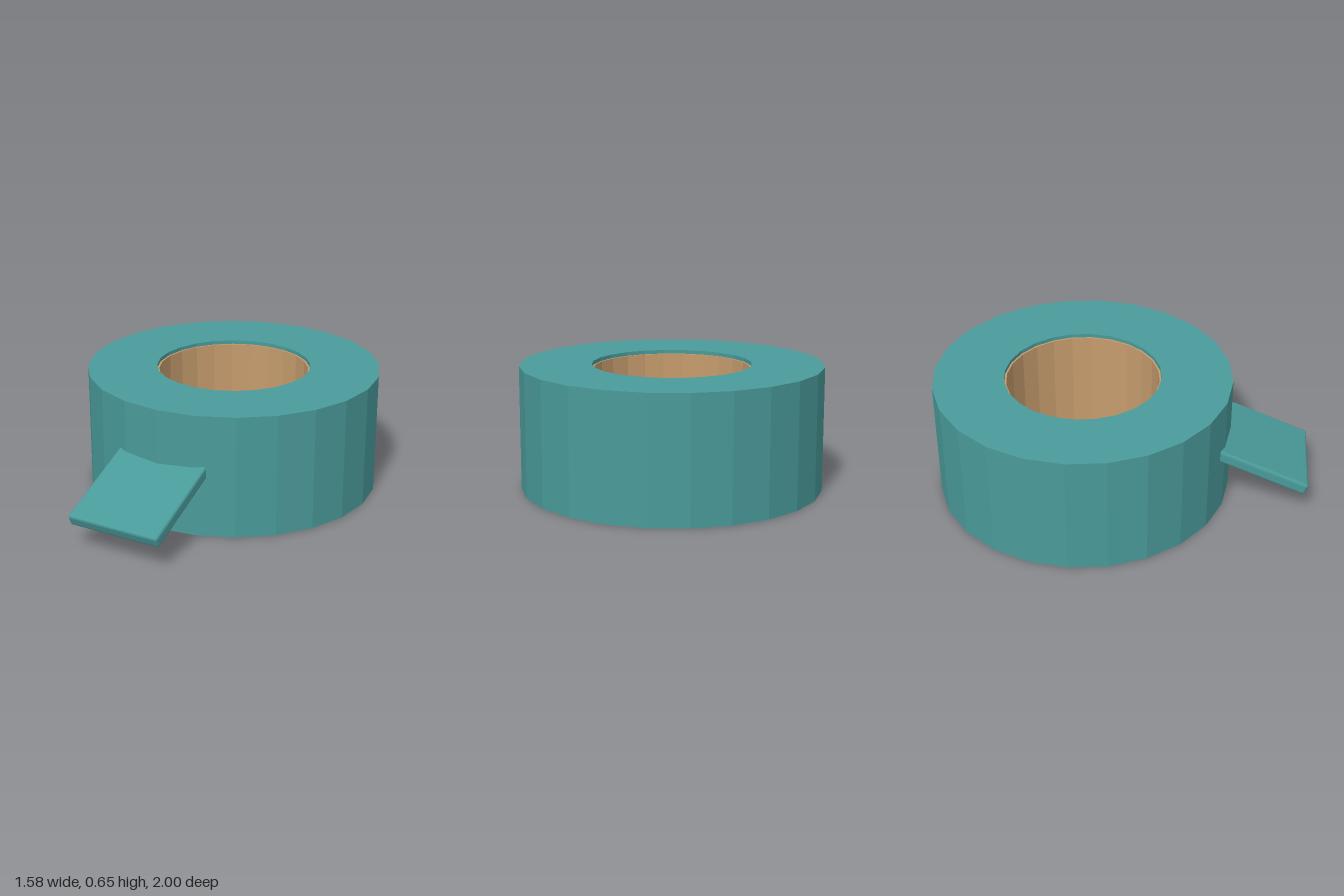
import * as THREE from 'three';
import { RoundedBoxGeometry } from 'three/addons/geometries/RoundedBoxGeometry.js';

const SIDES = 24;
const CENTER_Z = -0.21;

// Closed ring with a rectangular section, standing upright on the y axis
function makeRing(name, inner, outer, y0, y1, material) {
  const section = [[outer, y0], [outer, y1], [inner, y1], [inner, y0], [outer, y0]]
    .map(([r, y]) => new THREE.Vector2(r, y));
  const mesh = new THREE.Mesh(new THREE.LatheGeometry(section, SIDES), material);
  mesh.name = name;
  mesh.position.z = CENTER_Z;
  return mesh;
}

export function createModel() {
  const teal = new THREE.MeshStandardMaterial({ color: 0x4a9a9a, flatShading: true });
  const cardboard = new THREE.MeshStandardMaterial({ color: 0xc69c6d, flatShading: true });
  const model = new THREE.Group();
  model.name = 'tapeRoll';

  // Wound tape and the slightly recessed cardboard core inside it
  model.add(makeRing('woundTape', 0.415, 0.79, 0, 0.65, teal));
  model.add(makeRing('cardboardCore', 0.405, 0.425, 0.02, 0.63, cardboard));

  // Loose end of the tape, sloping down and out of the front
  const length = 0.6, tilt = THREE.MathUtils.degToRad(22.5);
  const looseEnd = new THREE.Mesh(new RoundedBoxGeometry(0.515, 0.065, length, 2, 0.015), teal);
  looseEnd.name = 'looseEnd';
  looseEnd.rotation.x = tilt;
  looseEnd.position.set(0, 0.157 + Math.sin(tilt) * length / 2, 0.991 - Math.cos(tilt) * length / 2);
  model.add(looseEnd);

  return model;
}
